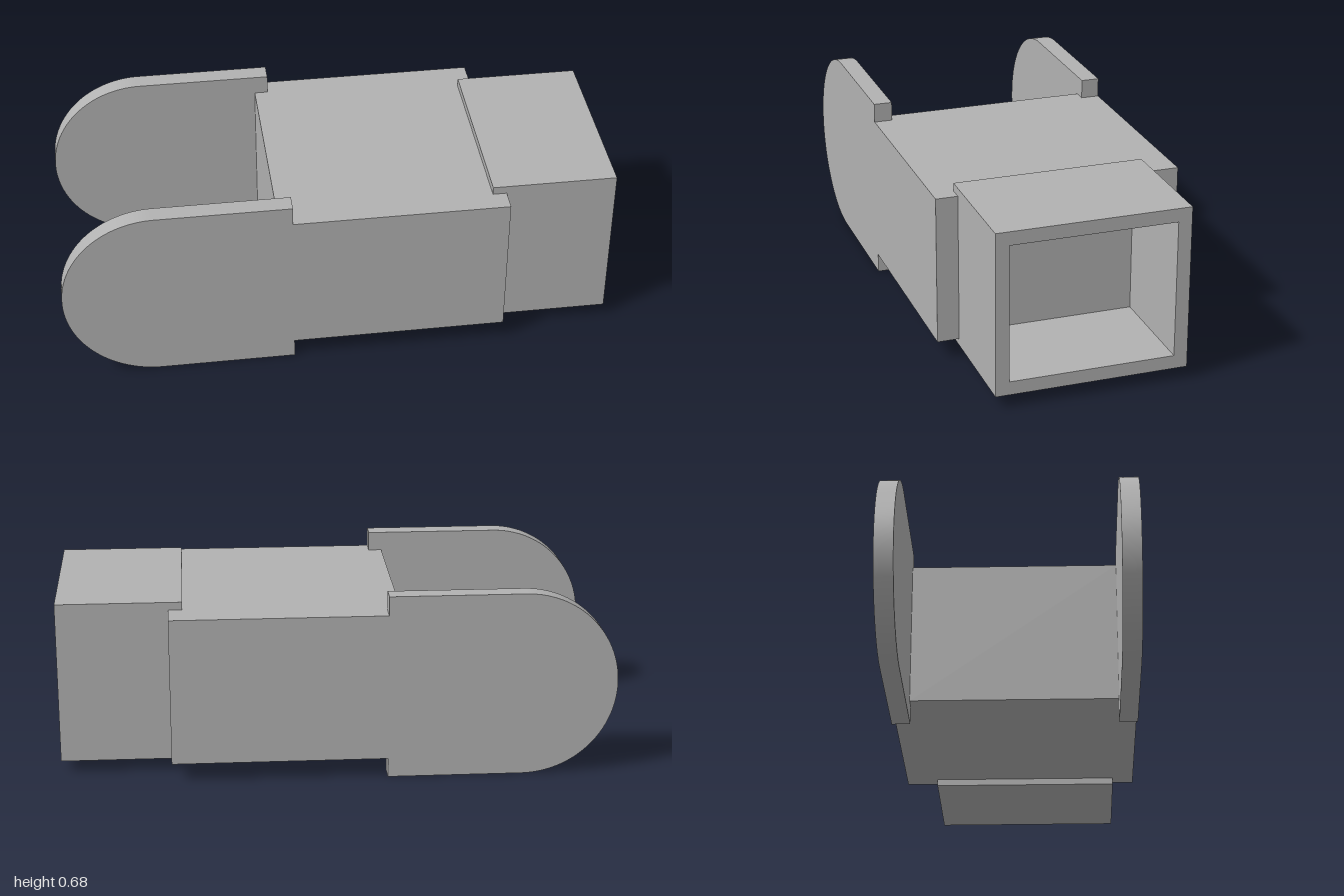
import * as THREE from 'three';
import { toCreasedNormals } from 'three/addons/utils/BufferGeometryUtils.js';

export function createModel() {
  const model = new THREE.Group();
  model.name = 'clevisBracket';
  const grey = new THREE.MeshStandardMaterial({ color: 0xb2b2b2 });
  grey.name = 'plainGrey';

  const add = (name, geometry, x, y, z) => {
    const mesh = new THREE.Mesh(geometry, grey);
    mesh.name = name;
    mesh.position.set(x, y, z);
    model.add(mesh);
    return mesh;
  };

  const midY = 0.34, outerZ = 0.444, innerZ = 0.377;
  const bodyHalf = 0.27, bodyEnd = 0.6, earEnd = -0.175;

  // Solid block between the side cheeks
  const blockStart = -0.224;
  add('bodyBlock', new THREE.BoxGeometry(bodyEnd - blockStart, 2 * bodyHalf, 2 * innerZ),
    (bodyEnd + blockStart) / 2, midY, 0);

  // Side cheeks: round-ended ears that step down to the body height
  const r = 0.34;
  const cheek = new THREE.Shape();
  cheek.moveTo(bodyEnd, -bodyHalf);
  cheek.lineTo(bodyEnd, bodyHalf);
  cheek.lineTo(earEnd, bodyHalf);
  cheek.lineTo(earEnd, r);
  cheek.lineTo(-1 + r, r);
  cheek.absarc(-1 + r, 0, r, Math.PI / 2, Math.PI * 1.5, false);
  cheek.lineTo(earEnd, -r);
  cheek.lineTo(earEnd, -bodyHalf);
  cheek.closePath();
  const cheekGeometry = toCreasedNormals(new THREE.ExtrudeGeometry(cheek, {
    depth: outerZ - innerZ, bevelEnabled: false, curveSegments: 48,
  }), 0.5);
  add('frontCheek', cheekGeometry, 0, midY, innerZ);
  add('backCheek', cheekGeometry, 0, midY, -outerZ);

  // Rectangular socket, slightly off centre, closed at its inner end by the body
  const zMin = -0.325, zMax = 0.365, yMin = 0.045, yMax = 0.639, wall = 0.049;
  const rectangle = (path, inset) => {
    // Shape x runs along -z so the extrusion points along +x after turning
    path.moveTo(-zMax + inset, yMin + inset);
    path.lineTo(-zMin - inset, yMin + inset);
    path.lineTo(-zMin - inset, yMax - inset);
    path.lineTo(-zMax + inset, yMax - inset);
    path.closePath();
    return path;
  };
  const socketShape = rectangle(new THREE.Shape(), 0);
  socketShape.holes.push(rectangle(new THREE.Path(), wall));
  const socketStart = 0.55;
  const socket = new THREE.ExtrudeGeometry(socketShape, {
    depth: 1 - socketStart, bevelEnabled: false,
  });
  socket.rotateY(Math.PI / 2);
  add('socket', socket, socketStart, 0, 0);

  return model;
}
